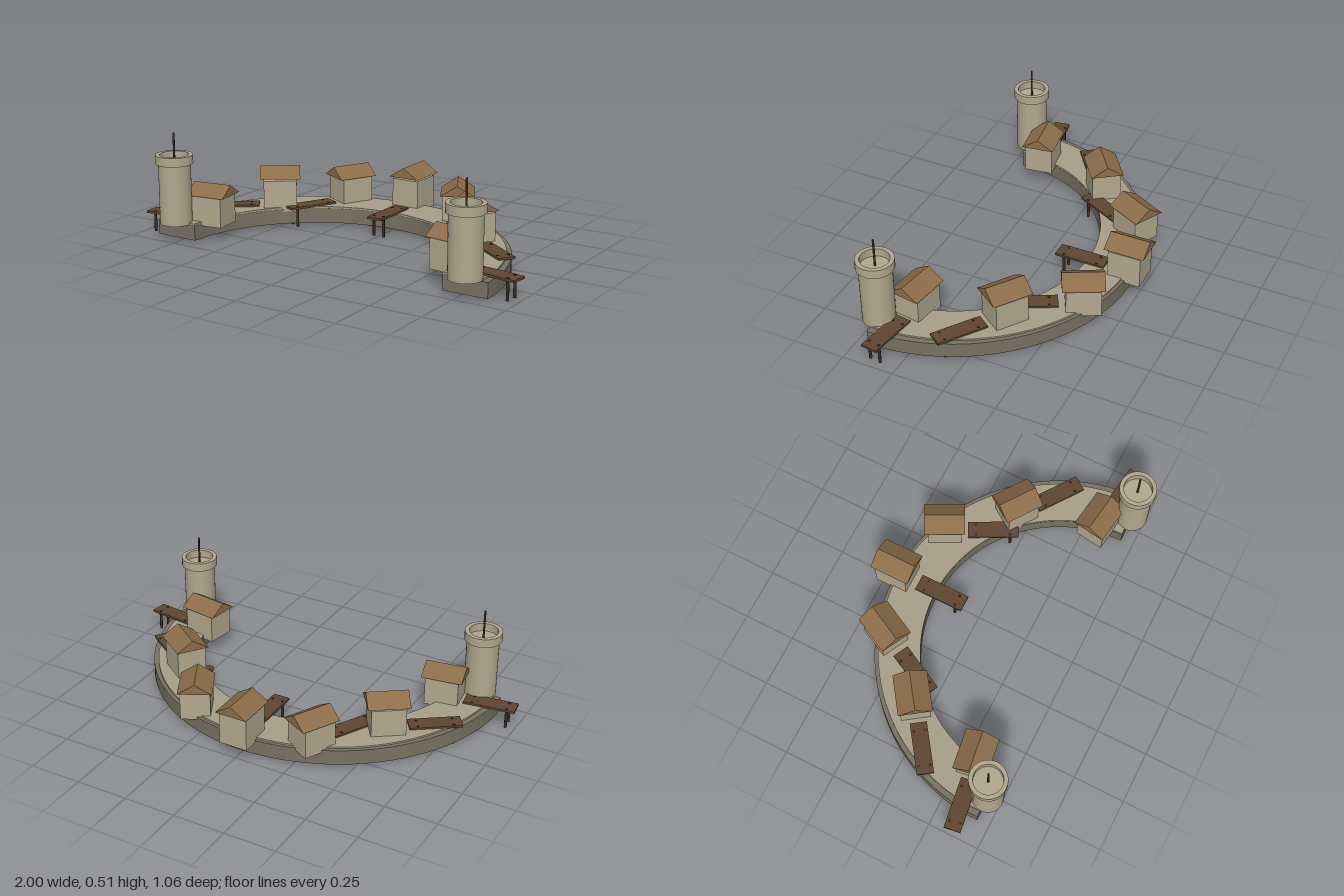
import * as THREE from 'three';

const material = (name, color) => {
  const m = new THREE.MeshStandardMaterial({ color });
  m.name = name;
  return m;
};

export function createModel() {
  const stone = material('dark stone', 0x787262);
  const paving = material('paving', 0xa89f8a);
  const wall = material('pale stone', 0xb3a88f);
  const roofing = material('roof tile', 0x8d6d4a);
  const timber = material('timber', 0x5f4733);
  const darkWood = material('dark wood', 0x3d2b1f);

  const model = new THREE.Group();
  model.name = 'harbourTown';
  const add = (parent, name, geometry, mat, x = 0, y = 0, z = 0) => {
    const mesh = new THREE.Mesh(geometry, mat);
    mesh.name = name;
    mesh.position.set(x, y, z);
    parent.add(mesh);
    return mesh;
  };
  const group = (name, x, y, z, turn = 0) => {
    const g = new THREE.Group();
    g.name = name;
    g.position.set(x, y, z);
    g.rotation.y = turn;
    model.add(g);
    return g;
  };

  // Half rings: the quay and the slightly smaller paving on it
  const CZ = 0.44;
  const halfRing = (outer, outerZ, inner, innerZ, height) => {
    const s = new THREE.Shape();
    s.absarc(0, -outerZ, outer, 0, Math.PI, false);
    s.absarc(0, -innerZ, inner, Math.PI, 0, true);
    return new THREE.ExtrudeGeometry(s, { depth: height, bevelEnabled: false, curveSegments: 32 })
      .rotateX(-Math.PI / 2);
  };
  add(model, 'quayBase', halfRing(0.885, CZ, 0.668, CZ, 0.073), stone, 0, 0.01, 0);
  add(model, 'quayPaving', halfRing(0.855, 0.425, 0.669, CZ, 0.009), paving, 0, 0.082, 0);

  // Towers at both tips, with a hollow parapet and a pole
  const parapet = new THREE.LatheGeometry([
    [0.075, 0], [0.088, 0], [0.088, 0], [0.088, 0.043], [0.088, 0.043],
    [0.068, 0.043], [0.068, 0.043], [0.068, 0],
  ].map(([r, y]) => new THREE.Vector2(r, y)), 32).toNonIndexed();
  parapet.computeVertexNormals();
  for (const side of [-1, 1]) {
    const tower = group('tower', side * 0.777, 0, CZ);
    add(tower, 'towerBody', new THREE.CylinderGeometry(0.076, 0.076, 0.292, 32), wall, 0, 0.228, 0);
    add(tower, 'towerParapet', parapet, wall, 0, 0.37, 0);
    add(tower, 'towerPole', new THREE.CylinderGeometry(0.005, 0.005, 0.145, 8), darkWood, 0, 0.4425, 0);
  }

  // Gable roof: triangle across, ridge along z
  const gable = new THREE.Shape();
  gable.moveTo(-0.08, 0);
  gable.lineTo(0.08, 0);
  gable.lineTo(0, 0.051);
  gable.closePath();
  const roof = new THREE.ExtrudeGeometry(gable, { depth: 0.195, bevelEnabled: false }).translate(0, 0, -0.0975);

  const STEP = THREE.MathUtils.degToRad(27.3);
  const plank = new THREE.BoxGeometry(0.08, 0.011, 0.245);
  const post = new THREE.CylinderGeometry(0.007, 0.007, 0.102, 8);

  for (let i = -3; i <= 3; i++) {
    const t = i * STEP;

    // Houses, alternating in height
    const tall = i % 2 === 0;
    const top = tall ? 0.224 : 0.211;
    const house = group('house', 0.66 * Math.sin(t), 0, CZ - 0.876 * Math.cos(t), t);
    add(house, 'houseWalls', new THREE.BoxGeometry(0.14, top - 0.07, 0.16), wall, 0, (top + 0.07) / 2, 0);
    add(house, 'houseRoof', roof, roofing, 0, tall ? 0.235 : 0.213, 0);

    // Jetties on four posts
    const jetty = group('jetty', 0.88 * Math.sin(t), 0, CZ - 0.64 * Math.cos(t), t);
    add(jetty, 'jettyDeck', plank, timber, 0, 0.0945, 0);
    for (const x of [-0.026, 0.026])
      for (const z of [-0.083, 0.083]) add(jetty, 'jettyPost', post, darkWood, x, 0.051, z);
  }
  return model;
}
